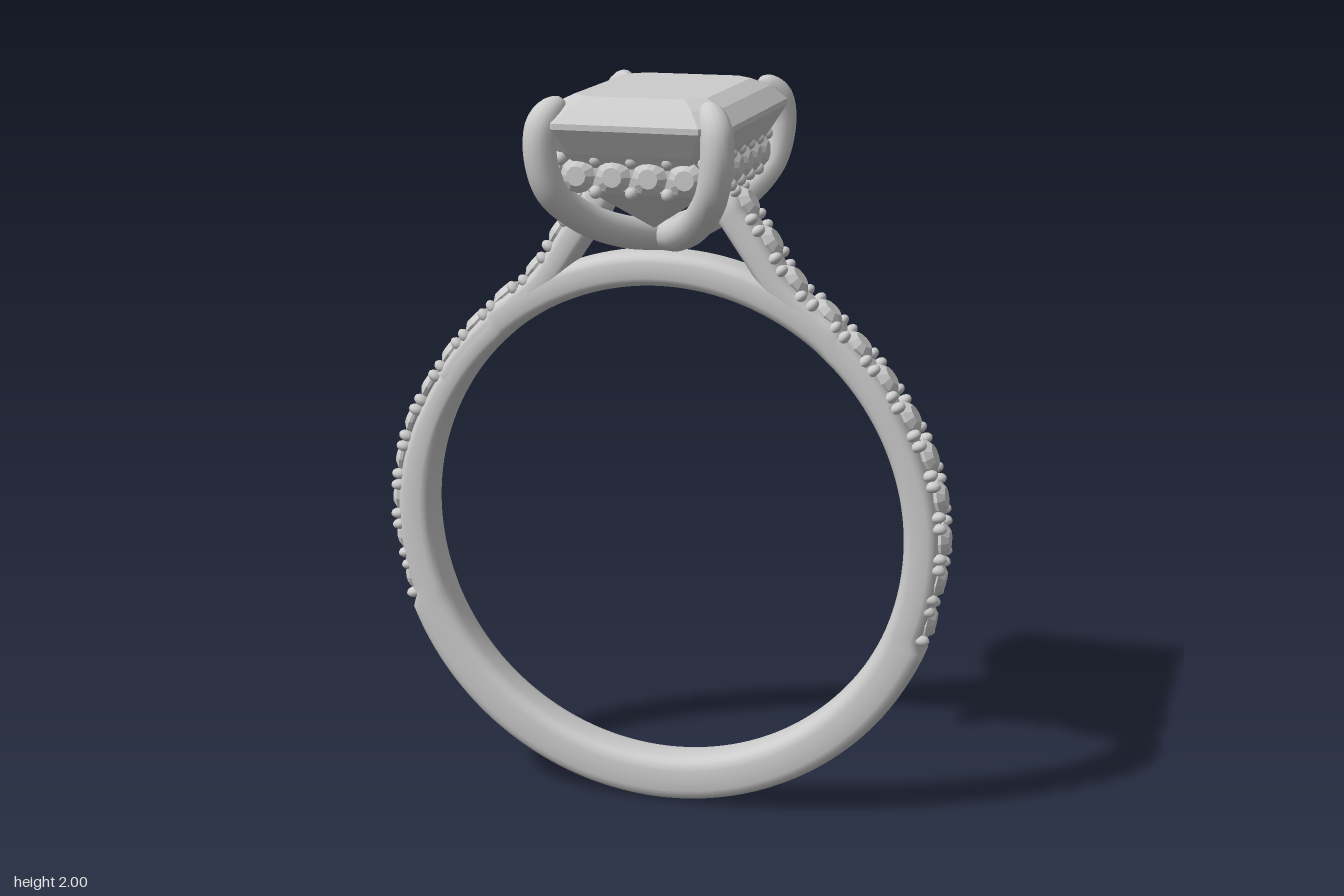
import * as THREE from 'three';

const V = (x, y, z = 0) => new THREE.Vector3(x, y, z);
const metal = new THREE.MeshStandardMaterial({ color: 0xcccccc });
metal.name = 'pale grey metal';
const stone = metal.clone();
stone.name = 'pale grey stone';
stone.flatShading = true;

// Skin a list of closed cross-sections
function loft(rows, wrap) {
  const n = rows[0].length, m = rows.length, idx = [];
  for (let i = 0; i < (wrap ? m : m - 1); i++) {
    for (let j = 0; j < n; j++) {
      const k = ((i + 1) % m) * n, j2 = (j + 1) % n;
      idx.push(i * n + j, k + j, i * n + j2, k + j, k + j2, i * n + j2);
    }
  }
  const g = new THREE.BufferGeometry().setFromPoints(rows.flat());
  g.setIndex(idx);
  g.computeVertexNormals();
  return g;
}

// Rounded band section between an inner and an outer point
function section(inner, outer, halfWidth, count = 24) {
  const mid = inner.clone().lerp(outer, 0.5), half = outer.clone().sub(mid);
  const soft = v => Math.sign(v) * Math.abs(v) ** 0.6;
  return Array.from({ length: count }, (_, j) => {
    const b = j / count * Math.PI * 2;
    const p = mid.clone().addScaledVector(half, soft(Math.cos(b)));
    p.z += halfWidth * soft(Math.sin(b));
    return p;
  });
}

// Clipped-corner rectangle in the horizontal plane
function octagon(y, a, b, c) {
  return [[a, -b + c], [a, b - c], [a - c, b], [-a + c, b], [-a, b - c], [-a, -b + c], [-a + c, -b], [a - c, -b]]
    .map(([x, z]) => V(x, y, z));
}

const brilliant = new THREE.LatheGeometry(
  [[0, -0.035], [0.047, -0.008], [0.05, 0], [0.028, 0.018], [0, 0.018]].map(p => new THREE.Vector2(...p)), 12);
const bead = new THREE.SphereGeometry(1, 12, 8);

function add(parent, name, geometry, material) {
  const mesh = new THREE.Mesh(geometry, material);
  mesh.name = name;
  parent.add(mesh);
  return mesh;
}

function addStone(parent, name, pos, normal, size = 1) {
  const mesh = add(parent, name, brilliant, stone);
  mesh.position.copy(pos);
  mesh.quaternion.setFromUnitVectors(V(0, 1, 0), normal);
  mesh.scale.setScalar(size);
}

function addBead(parent, name, pos, sx, sy, sz, angle = 0) {
  const mesh = add(parent, name, bead, metal);
  mesh.position.copy(pos);
  mesh.scale.set(sx, sy, sz);
  mesh.rotation.z = angle;
}

// Outer line of the stone-set shoulder
const shoulderLine = new THREE.CatmullRomCurve3([
  V(0.755, 0.585), V(0.788, 0.8), V(0.75, 1.03), V(0.615, 1.265),
  V(0.47, 1.42), V(0.375, 1.505), V(0.305, 1.61), V(0.24, 1.71)]);

function outward(t) {
  const d = shoulderLine.getTangentAt(t);
  return V(d.y, -d.x);
}

function makeShoulder() {
  const side = new THREE.Group();
  side.name = 'shoulder';
  // Arm that leaves the band and rises to the head
  const rows = [];
  for (let i = 0; i <= 30; i++) {
    const t = 0.5 + i / 60, n = outward(t);
    const outer = shoulderLine.getPointAt(t).addScaledVector(n, -0.018);
    const inner = outer.clone().addScaledVector(n, -0.065 - 0.02 * i / 30);
    rows.push(section(inner, outer, 0.067));
  }
  const lift = rows.at(-1).map(p => p.clone().add(V(-0.025, 0.055, 0)));
  const centre = lift.reduce((s, p) => s.add(p), V(0, 0, 0)).divideScalar(lift.length);
  rows.push(lift, lift.map(() => centre.clone()));
  add(side, 'shoulderArm', loft(rows), metal);
  // Row of stones, each held by four small claws
  const count = 12;
  for (let i = 0; i < count; i++) {
    const t = i / (count - 1), n = outward(t), d = shoulderLine.getTangentAt(t);
    const p = shoulderLine.getPointAt(t);
    addStone(side, 'shoulderStone', p.clone().addScaledVector(n, -0.014), n);
    for (const u of [-1, 1]) for (const w of [-1, 1]) {
      const q = p.clone().addScaledVector(n, -0.02).addScaledVector(d, u * 0.042);
      q.z = w * 0.044;
      addBead(side, 'shoulderClaw', q, 0.022, 0.015, 0.02, Math.atan2(n.y, n.x));
    }
  }
  return side;
}

function makeBand() {
  const rows = [];
  for (let i = 0; i < 180; i++) {
    const a = i / 180 * Math.PI * 2, s = Math.sin(a), dir = V(Math.cos(a), s);
    let r = s < 0 ? 0.79 - 0.01 * s : 0.79 - 0.025 * THREE.MathUtils.smoothstep(s, 0, 0.62);
    if (s > -0.345 && s < 0.75) r -= 0.02;
    const c = V(0, 0.8);
    rows.push(section(c.clone().addScaledVector(dir, 0.67), c.clone().addScaledVector(dir, r), 0.068));
  }
  return loft(rows, true);
}

// Claw rising from under the head, tapering over a gem corner
function makeProng(sx, sz) {
  const path = new THREE.CatmullRomCurve3([
    [0, 1.605, 0], [0.075, 1.63, 0.12], [0.155, 1.685, 0.235], [0.212, 1.765, 0.315], [0.232, 1.86, 0.338],
    [0.228, 1.93, 0.332], [0.21, 1.965, 0.31], [0.185, 1.988, 0.275]].map(([x, y, z]) => V(x * sx, y, z * sz)));
  const steps = 48, sides = 14, g = new THREE.TubeGeometry(path, steps, 0.043, sides);
  const pos = g.attributes.position, p = V(0, 0, 0);
  for (let i = 0; i <= steps; i++) {
    const u = i / steps, c = path.getPointAt(u);
    const k = u < 0.84 ? 1 : Math.sqrt(Math.max(0, 1 - ((u - 0.84) / 0.16) ** 2));
    for (let j = 0; j <= sides; j++) {
      const v = i * (sides + 1) + j;
      p.fromBufferAttribute(pos, v).sub(c).multiplyScalar(k).add(c);
      pos.setXYZ(v, p.x, p.y, p.z);
    }
  }
  g.computeVertexNormals();
  return g;
}

function makeHead() {
  const head = new THREE.Group();
  head.name = 'head';
  // Step-cut centre gem: pavilion, girdle, crown and table
  const gem = loft([
    octagon(1.64, 0, 0.1, 0), octagon(1.75, 0.15, 0.25, 0.04), octagon(1.86, 0.222, 0.325, 0.06),
    octagon(1.925, 0.26, 0.365, 0.07), octagon(1.94, 0.26, 0.365, 0.07), octagon(1.978, 0.22, 0.32, 0.06),
    octagon(2, 0.175, 0.27, 0.045), octagon(2, 0, 0, 0)]);
  add(head, 'centreGem', gem, stone);
  // Frame below the girdle
  const frame = loft([
    octagon(1.765, 0.165, 0.265, 0.04), octagon(1.765, 0.2, 0.3, 0.05),
    octagon(1.845, 0.2, 0.3, 0.05), octagon(1.845, 0.165, 0.265, 0.04)], true);
  add(head, 'haloFrame', frame, stone);
  // Halo stones with beads between them, on all four sides
  for (const s of [-1, 1]) {
    for (const [count, gap, axis] of [[4, 0.095, 'z'], [6, 0.097, 'x']]) {
      const far = axis === 'z' ? 0.305 : 0.205;
      const place = (u, y, d) => axis === 'z' ? V(u, y, s * d) : V(s * d, y, u);
      for (let i = 0; i < count; i++) {
        addStone(head, 'haloStone', place((i - (count - 1) / 2) * gap, 1.803, far), place(0, 0, 1), 0.92);
      }
      for (let i = 0; i <= count; i++) for (const dy of [-0.041, 0.041]) {
        addBead(head, 'haloBead', place((i - count / 2) * gap, 1.803 + dy, far), 0.017, 0.017, 0.017);
      }
    }
  }
  for (const sx of [-1, 1]) for (const sz of [-1, 1]) add(head, 'prong', makeProng(sx, sz), metal);
  return head;
}

export function createModel() {
  const ring = new THREE.Group();
  ring.name = 'ring';
  add(ring, 'band', makeBand(), metal);
  const left = makeShoulder(), right = makeShoulder();
  right.rotation.y = Math.PI;
  ring.add(left, right, makeHead());
  return ring;
}
